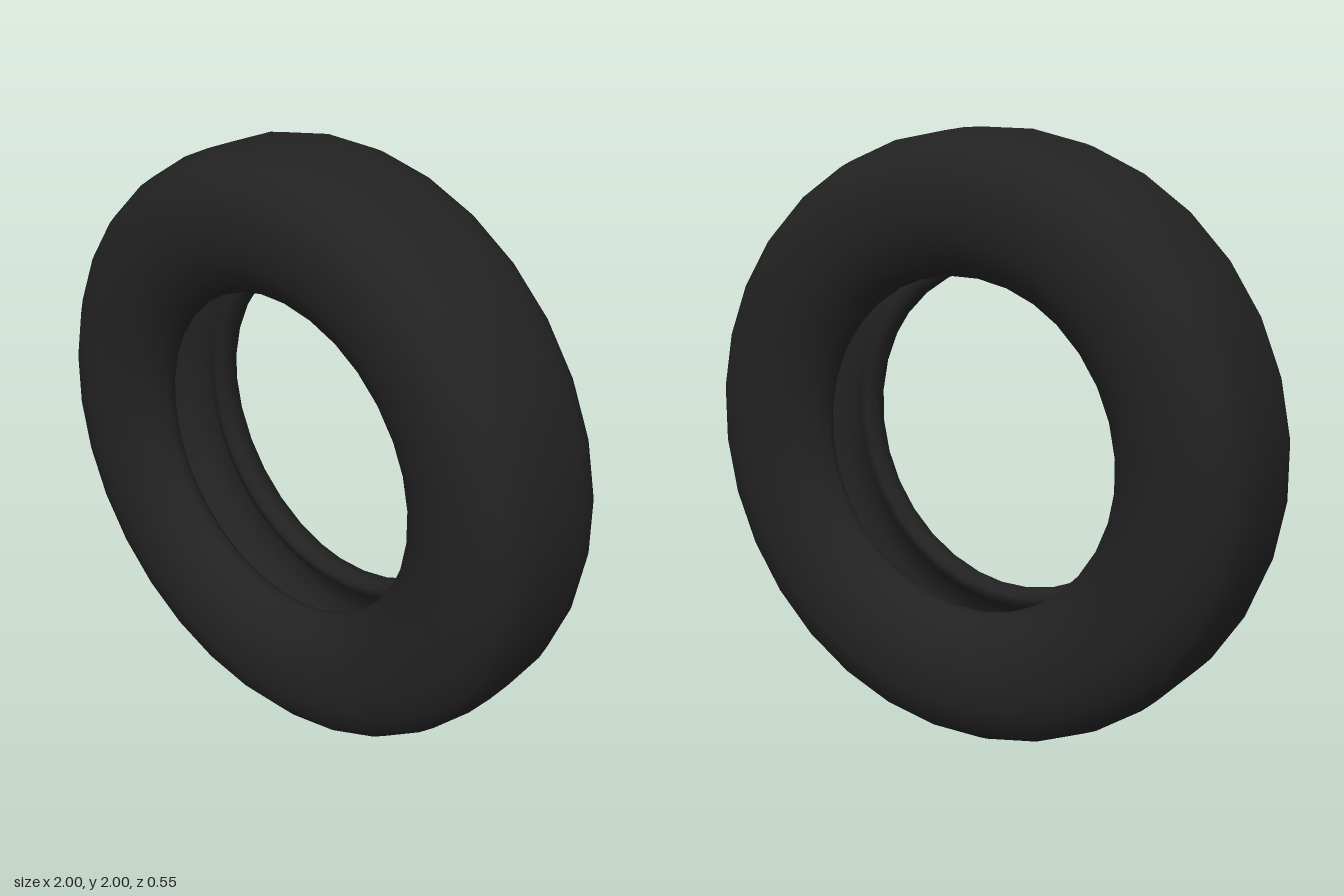
import * as THREE from 'three';

const SEGMENTS = 32;

// Half of the tyre section as [radius, depth], from the tread centre
// over the shoulder, sidewall and bead to the centre of the hollow inside.
const HALF = [
  [1.003, 0], [1.0, 0.1], [0.985, 0.16], [0.965, 0.2], [0.91, 0.25],
  [0.84, 0.27], [0.77, 0.275], [0.69, 0.265], [0.62, 0.232], [0.573, 0.19],
  [0.553, 0.15], [0.556, 0.12], [0.575, 0.098], [0.605, 0.1], [0.635, 0.14],
  [0.7, 0.205], [0.79, 0.225], [0.87, 0.2], [0.92, 0.13], [0.94, 0],
];

export function createModel() {
  const rubber = new THREE.MeshStandardMaterial({ color: 0x222222 });
  rubber.name = 'black rubber';

  // Closed section: mirrored back half, then the front half
  const back = HALF.slice(1).reverse().map(([r, d]) => new THREE.Vector2(r, -d));
  const front = HALF.map(([r, d]) => new THREE.Vector2(r, d));

  // Revolve around the axle, then turn the axle to face forward
  const geometry = new THREE.LatheGeometry([...back, ...front], SEGMENTS, Math.PI / SEGMENTS);
  geometry.rotateX(Math.PI / 2);

  const tyre = new THREE.Mesh(geometry, rubber);
  tyre.name = 'tyre';
  tyre.position.y = 1;

  const model = new THREE.Group();
  model.name = 'tyreModel';
  model.add(tyre);
  return model;
}
